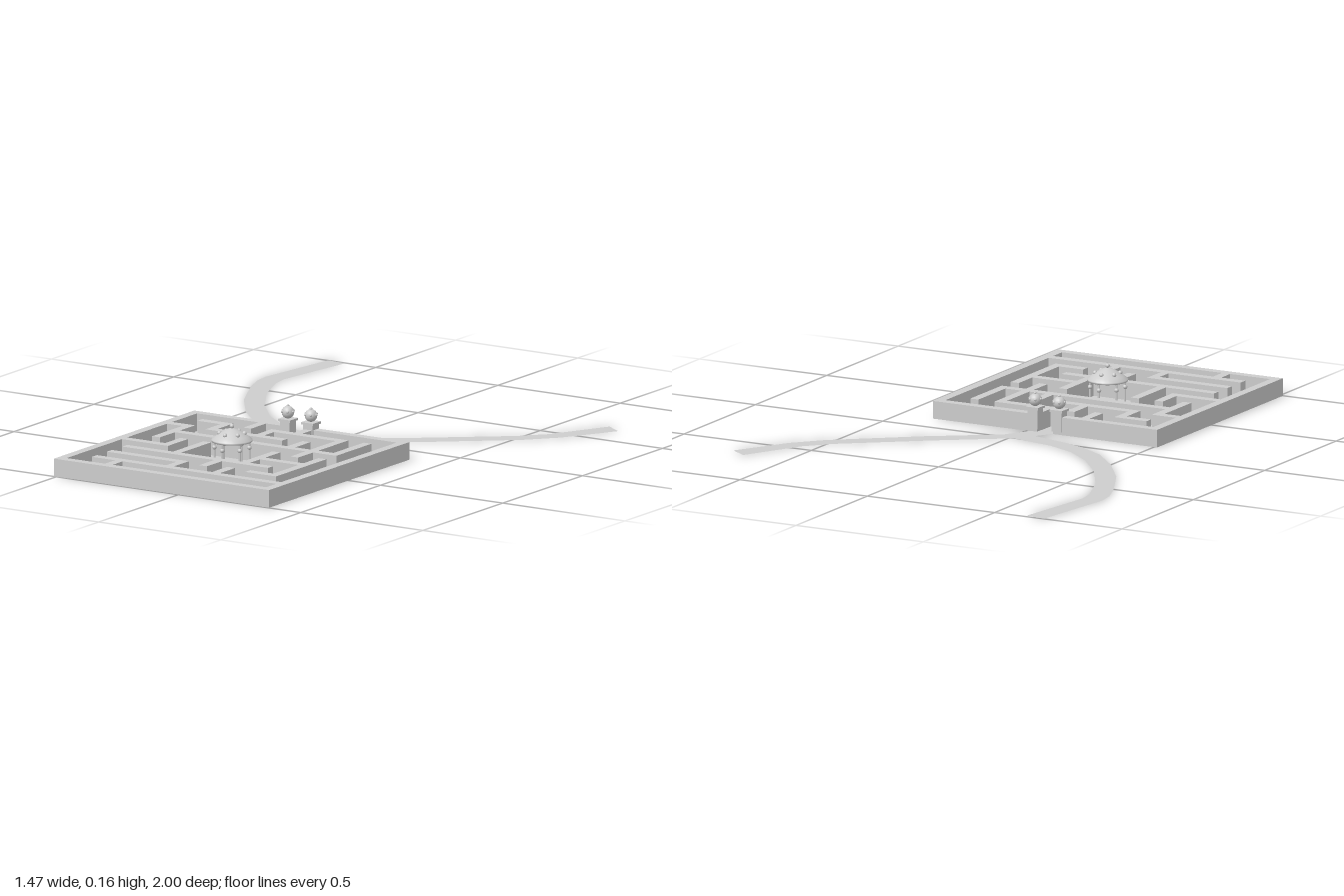
import * as THREE from 'three';

export function createModel() {
  const root = new THREE.Group();
  root.name = 'hedgeMaze';
  const stone = new THREE.MeshStandardMaterial({ color: 0xcccccc, side: THREE.DoubleSide });
  stone.name = 'grey stone';

  const add = (parent, name, geo, x = 0, y = 0, z = 0) => {
    const m = new THREE.Mesh(geo, stone);
    m.name = name;
    m.position.set(x, y, z);
    parent.add(m);
    return m;
  };

  // Maze grid: lines 0..9 both ways
  const PITCH = 0.0943, T = 0.032, H = 0.062, CX = -0.0715, CZ = 0.5575;
  const gx = i => CX + (i - 4.5) * PITCH;
  const gz = j => CZ + (j - 4.5) * PITCH;

  // Walls as [i0, j0, i1, j1]
  const walls = [
    // outer border with the entrance gap
    [0, 0, 4, 0], [5, 0, 9, 0], [0, 9, 9, 9], [0, 0, 0, 9], [9, 0, 9, 9],
    // upper part
    [3, 0, 3, 1], [5, 0, 5, 1], [1, 1, 2, 1], [2, 1, 2, 2], [2, 2, 5, 2],
    [4, 1, 4, 2], [4, 1, 7, 1], [7, 1, 7, 4], [8, 1, 8, 3], [7, 3, 8, 3],
    [0, 2, 1, 2], [1, 2, 1, 4], [1, 3, 7, 3], [6, 2, 6, 3],
    // middle
    [0, 5, 2, 5], [2, 4, 2, 5], [3, 4, 3, 6], [6, 4, 6, 6],
    [6, 5, 8, 5], [8, 4, 8, 7], [7, 7, 8, 7],
    // lower part
    [1, 6, 7, 6], [5, 6, 5, 7], [1, 7, 4, 7], [4, 7, 4, 8], [6, 7, 6, 8],
    [2, 8, 9, 8], [1, 8, 2, 8], [2, 8, 2, 9],
  ];
  const maze = new THREE.Group();
  maze.name = 'maze';
  root.add(maze);
  for (const [i0, j0, i1, j1] of walls) {
    add(maze, 'wall', new THREE.BoxGeometry((i1 - i0) * PITCH + T, H, (j1 - j0) * PITCH + T),
      (gx(i0) + gx(i1)) / 2, H / 2, (gz(j0) + gz(j1)) / 2);
  }
  const size = 9 * PITCH + T;
  add(maze, 'floor', new THREE.PlaneGeometry(size, size).rotateX(-Math.PI / 2), CX, 0, CZ);

  // Forked footpath: outline as x, z pairs
  const outline = [
    -0.694, -1, -0.736, -0.67, -0.726, -0.6, -0.694, -0.513, -0.604, -0.333, -0.499, -0.185,
    -0.393, -0.074, -0.288, -0.01, -0.208, 0.021, -0.066, 0.058, -0.105, 0.12, -0.105, 0.15,
    -0.035, 0.15, -0.008, 0.106, 0.04, 0.026, 0.266, -0.132, 0.53, -0.344, 0.62, -0.444,
    0.731, -0.635, 0.668, -0.677, 0.557, -0.466, 0.478, -0.381, 0.214, -0.175, -0.018, -0.008,
    -0.182, -0.042, -0.288, -0.09, -0.393, -0.175, -0.499, -0.302, -0.594, -0.46,
    -0.652, -0.608, -0.662, -0.672, -0.62, -0.99,
  ];
  const pts = [];
  for (let k = 0; k < outline.length; k += 2) pts.push(new THREE.Vector2(outline[k], -outline[k + 1]));
  add(root, 'footpath', new THREE.ShapeGeometry(new THREE.Shape(pts)).rotateX(-Math.PI / 2), 0, 0.001, 0);

  // Gate pillars with studded balls
  for (const i of [4, 5]) {
    const gate = new THREE.Group();
    gate.name = 'gatePillar';
    gate.position.set(gx(i), 0, gz(0));
    root.add(gate);
    add(gate, 'post', new THREE.BoxGeometry(0.04, 0.07, 0.04), 0, 0.045, 0);
    add(gate, 'cap', new THREE.BoxGeometry(0.05, 0.008, 0.05), 0, 0.083, 0);
    add(gate, 'ball', new THREE.SphereGeometry(0.022, 16, 12), 0, 0.109, 0);
    add(gate, 'stud', new THREE.SphereGeometry(0.005, 8, 6), 0, 0.132, 0);
    for (let k = 0; k < 6; k++) {
      const a = k * Math.PI / 3;
      add(gate, 'stud', new THREE.SphereGeometry(0.005, 8, 6), 0.021 * Math.cos(a), 0.113, 0.021 * Math.sin(a));
    }
  }

  // Pavilion in the middle
  const pavilion = new THREE.Group();
  pavilion.name = 'pavilion';
  pavilion.position.set(CX, 0, 0.556);
  root.add(pavilion);
  const roof = [[0, 0.096], [0.07, 0.094], [0.071, 0.101], [0.056, 0.112], [0.038, 0.125], [0.018, 0.136], [0, 0.141]]
    .map(p => new THREE.Vector2(...p));
  add(pavilion, 'roof', new THREE.LatheGeometry(roof, 24));
  add(pavilion, 'finial', new THREE.SphereGeometry(0.008, 10, 8), 0, 0.147, 0);
  add(pavilion, 'finialTip', new THREE.ConeGeometry(0.004, 0.01, 8), 0, 0.154, 0);
  for (let k = 0; k < 6; k++) {
    const a = (k + 0.5) * Math.PI / 3, c = Math.cos(a), s = Math.sin(a);
    add(pavilion, 'column', new THREE.CylinderGeometry(0.004, 0.004, 0.096, 10), 0.06 * c, 0.048, 0.06 * s);
    add(pavilion, 'columnCollar', new THREE.SphereGeometry(0.008, 10, 8), 0.06 * c, 0.072, 0.06 * s);
    add(pavilion, 'columnBase', new THREE.CylinderGeometry(0.008, 0.009, 0.01, 10), 0.06 * c, 0.005, 0.06 * s);
    add(pavilion, 'roofStud', new THREE.SphereGeometry(0.008, 10, 8), 0.043 * c, 0.122, 0.043 * s);
  }
  return root;
}
